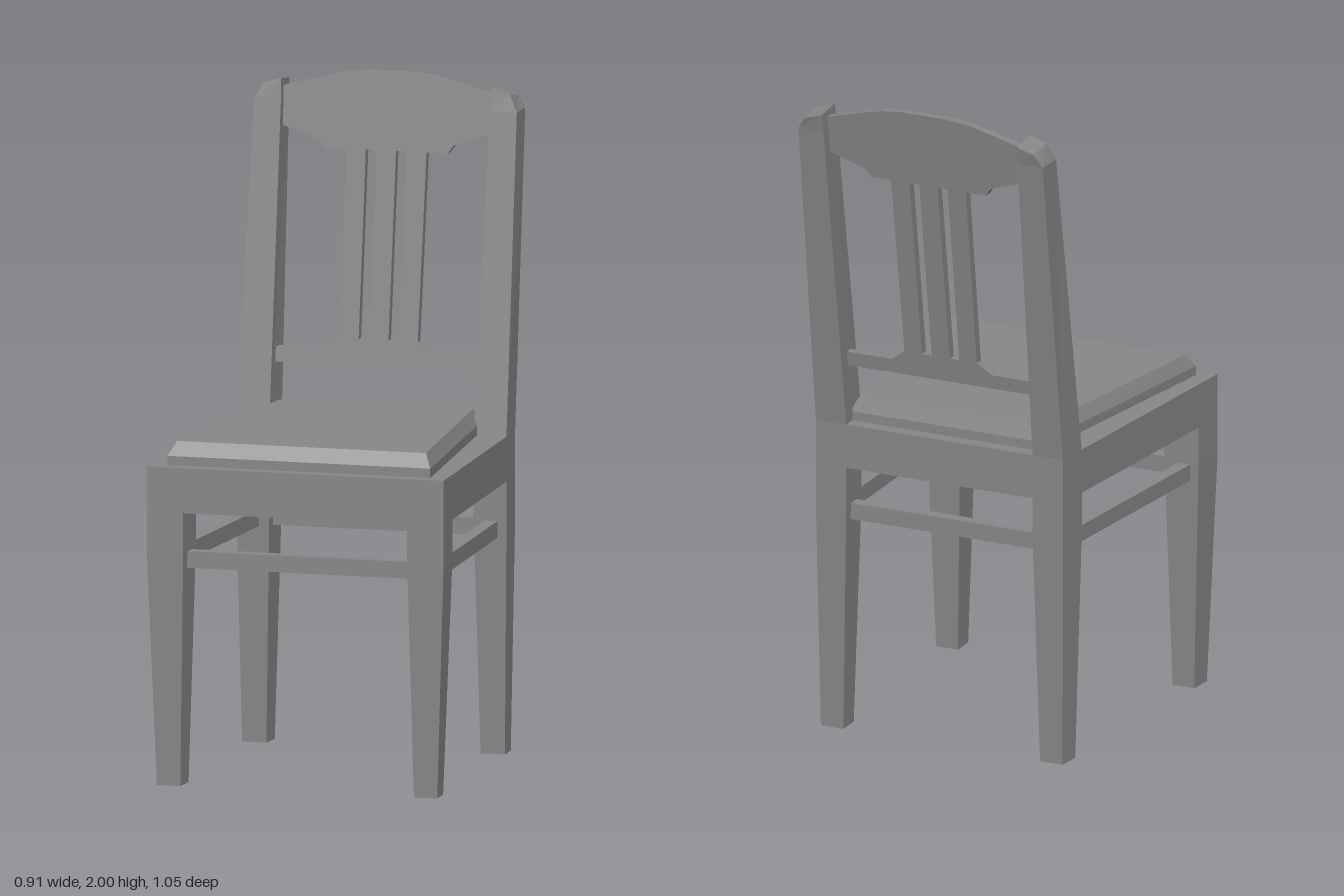
import * as THREE from 'three';

const material = new THREE.MeshStandardMaterial({ color: 0x868686, flatShading: true });

// Four-sided ring, counter-clockwise from above; dOuter and dBack lower those edges
function ring(side, xIn, xOut, zBack, zFront, y, { skew = 0.0514, dOuter = 0, dBack = 0 } = {}) {
  const k = skew * (zFront - zBack) / 2;
  const pts = [
    [xIn + k, y, zFront],
    [xOut + k, y - dOuter, zFront],
    [xOut - k, y - dOuter - dBack, zBack],
    [xIn - k, y - dBack, zBack],
  ].map(([x, py, z]) => [side * x, py, z]);
  return side < 0 ? pts.reverse() : pts;
}

// Closed solid through a stack of four-cornered rings, lowest first
function loft(rings) {
  const pos = [];
  const quad = (a, b, c, d) => pos.push(...a, ...b, ...c, ...a, ...c, ...d);
  for (let i = 0; i < rings.length - 1; i++) {
    const lo = rings[i], hi = rings[i + 1];
    for (let j = 0; j < 4; j++) {
      const n = (j + 1) % 4;
      quad(lo[j], lo[n], hi[n], hi[j]);
    }
  }
  const first = rings[0], last = rings[rings.length - 1];
  quad(first[3], first[2], first[1], first[0]);
  quad(...last);
  const geo = new THREE.BufferGeometry();
  geo.setAttribute('position', new THREE.Float32BufferAttribute(pos, 3));
  geo.computeVertexNormals();
  return geo;
}

const toPoints = (list) => list.map(([x, y]) => new THREE.Vector2(x, y));

// Symmetric trapezoid in plan, as [x, z] corners
const trapezoid = (xFront, zFront, xBack, zBack) =>
  [[-xFront, zFront], [xFront, zFront], [xBack, zBack], [-xBack, zBack]];

export function createModel() {
  const chair = new THREE.Group();
  chair.name = 'chair';
  const add = (name, geometry) => {
    const mesh = new THREE.Mesh(geometry, material);
    mesh.name = name;
    chair.add(mesh);
    return mesh;
  };

  // Seat frame: a trapezoid ring of rails
  const plan = (corners) => toPoints(corners.map(([x, z]) => [x, -z]));
  const frame = new THREE.Shape(plan(trapezoid(0.457, 0.525, 0.41, -0.39)));
  frame.holes.push(new THREE.Path(plan(trapezoid(0.35, 0.415, 0.31, -0.285))));
  const frameGeo = new THREE.ExtrudeGeometry(frame, { depth: 0.135, bevelEnabled: false });
  add('seatFrame', frameGeo.rotateX(-Math.PI / 2).translate(0, 0.822, 0));

  // Seat pad with a bevelled upper edge
  const padRing = (y, ...size) => trapezoid(...size).map(([x, z]) => [x, y, z]);
  add('seatPad', loft([
    padRing(0.95, 0.405, 0.487, 0.318, -0.345),
    padRing(0.985, 0.405, 0.487, 0.318, -0.345),
    padRing(1.026, 0.383, 0.457, 0.298, -0.33),
  ]));

  for (const side of [1, -1]) {
    const label = side > 0 ? 'left' : 'right';

    // Tapered front leg, flush with the frame corner
    add(label + 'FrontLeg', loft([
      ring(side, 0.358, 0.43, 0.43, 0.505, 0),
      ring(side, 0.342, 0.4541, 0.412, 0.525, 0.7),
      ring(side, 0.342, 0.4541, 0.412, 0.525, 0.822),
    ]));

    // Rear leg running up into the raked back post with a clipped top
    add(label + 'RearLegAndPost', loft([
      ring(side, 0.328, 0.403, -0.375, -0.3, 0),
      ring(side, 0.312, 0.4129, -0.39, -0.279, 0.7),
      ring(side, 0.312, 0.4129, -0.39, -0.279, 0.957),
      ring(side, 0.322, 0.405, -0.513, -0.425, 1.905, { skew: 0 }),
      ring(side, 0.324, 0.38, -0.523, -0.436, 1.972, { skew: 0, dOuter: 0.016, dBack: 0.012 }),
    ]));

    // Side stretcher following the splay of the seat
    const stretcher = add(label + 'Stretcher', new THREE.BoxGeometry(0.04, 0.05, 0.78));
    stretcher.position.set(side * 0.385, 0.677, 0.066);
    stretcher.rotation.y = side * Math.atan(0.05);
  }

  // Front and rear stretchers
  for (const [name, z, width] of [['frontStretcher', 0.467, 0.74], ['rearStretcher', -0.336, 0.68]]) {
    add(name, new THREE.BoxGeometry(width, 0.05, 0.04)).position.set(0, 0.677, z);
  }

  // Backrest: lower rail, three slats and arched top rail cut from one board
  const half = [
    [0.325, 1.137], [0.325, 1.181], [0.165, 1.181], [0.12, 1.213],
    [0.124, 1.77], [0.19, 1.77], [0.208, 1.795], [0.335, 1.835],
    [0.335, 1.942], [0.225, 1.972], [0.14, 1.993], [0.07, 2.0],
  ];
  const mirrored = half.map(([x, y]) => [-x, y]).reverse();
  const board = new THREE.Shape(toPoints([...half, ...mirrored]));
  for (const s of [1, -1]) {
    board.holes.push(new THREE.Path(toPoints(
      [[s * 0.03, 1.213], [s * 0.062, 1.213], [s * 0.063, 1.77], [s * 0.03, 1.77]])));
  }
  const backGeo = new THREE.ExtrudeGeometry(board, { depth: 0.027, bevelEnabled: false });
  // Rake the board backwards with height
  const p = backGeo.attributes.position;
  for (let i = 0; i < p.count; i++) {
    p.setZ(i, p.getZ(i) - 0.372 - 0.142 * (p.getY(i) - 1.14));
  }
  backGeo.computeVertexNormals();
  add('backrest', backGeo);

  return chair;
}
